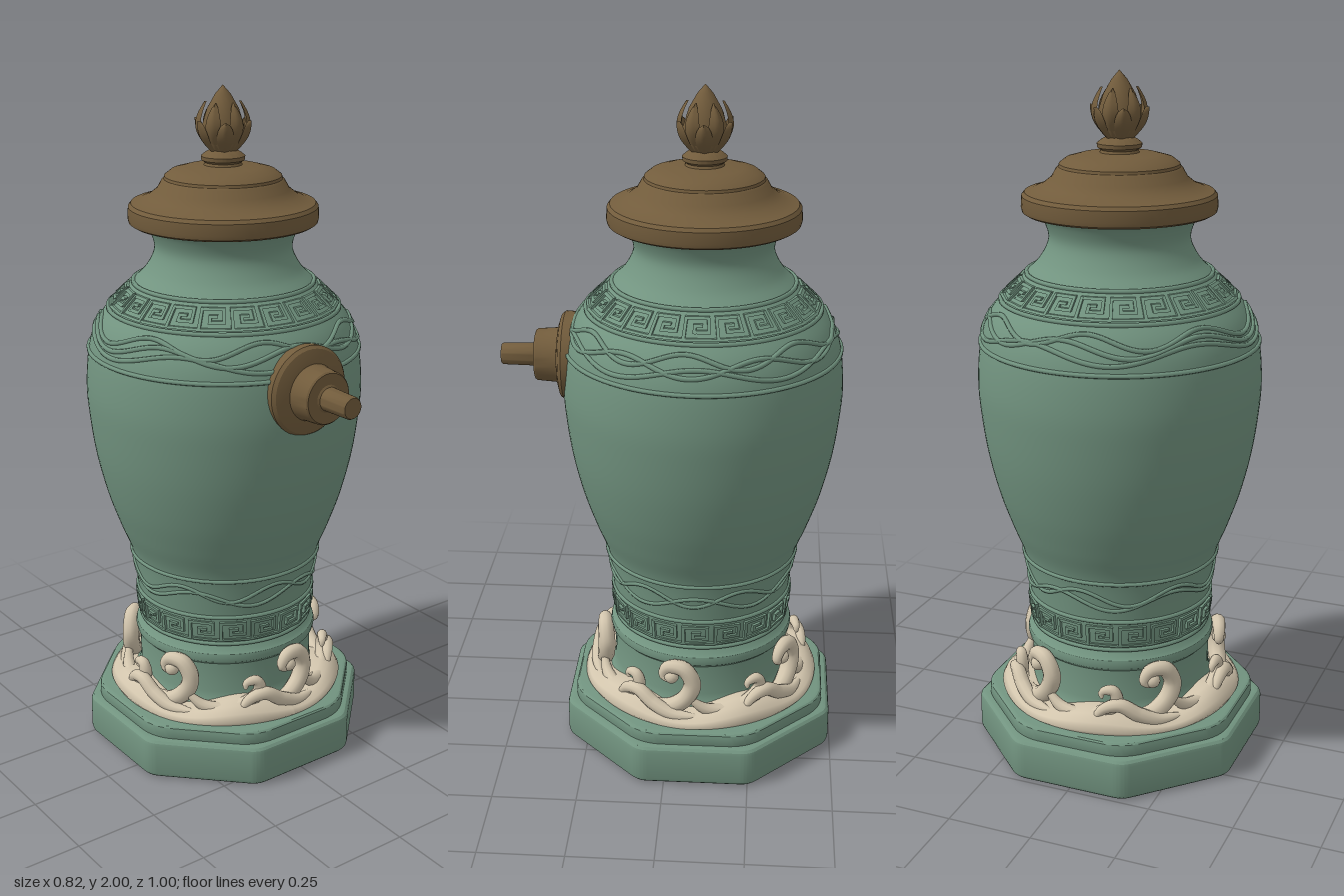
import * as THREE from 'three';
import { mergeGeometries, toCreasedNormals } from 'three/addons/utils/BufferGeometryUtils.js';

const V2 = (p) => new THREE.Vector2(p[0], p[1]);
const RAD = Math.PI / 180;
// point on a cylinder: angle runs from the front (+z) towards +x
const polar = (a, y, r) => new THREE.Vector3(r * Math.sin(a), y, r * Math.cos(a));

// vase outline [radius, height]
const outline = new THREE.SplineCurve([
  [0.262, 0.39], [0.268, 0.44], [0.272, 0.5], [0.288, 0.61], [0.322, 0.7], [0.356, 0.8], [0.385, 0.92],
  [0.402, 1.04], [0.408, 1.14], [0.398, 1.25], [0.375, 1.32], [0.335, 1.375], [0.268, 1.44],
  [0.225, 1.485], [0.2, 1.54], [0.212, 1.59], [0.238, 1.625],
].map(V2)).getPoints(96);

function vaseRadius(y) {
  const i = Math.max(1, outline.findIndex((p) => p.y >= y));
  const a = outline[i - 1], b = outline[i];
  return a.x + (b.x - a.x) * (y - a.y) / (b.y - a.y);
}

function creasedLathe(points, segments = 72) {
  return toCreasedNormals(new THREE.LatheGeometry(points.map(V2), segments), 0.55);
}

// octagonal slab with rounded corners, flats facing the axes
function octagonSlab(apothem, round, y0, height, bevel, holeRadius) {
  const R = apothem / Math.cos(Math.PI / 8);
  const corner = (i) => new THREE.Vector2(R * Math.cos((i + 0.5) * Math.PI / 4), R * Math.sin((i + 0.5) * Math.PI / 4));
  const shape = new THREE.Shape();
  for (let i = 0; i < 8; i++) {
    const c = corner(i);
    const a = c.clone().lerp(corner(i - 1), round), b = c.clone().lerp(corner(i + 1), round);
    if (i) shape.lineTo(a.x, a.y); else shape.moveTo(a.x, a.y);
    shape.quadraticCurveTo(c.x, c.y, b.x, b.y);
  }
  shape.closePath();
  if (holeRadius) shape.holes.push(new THREE.Path().absarc(0, 0, holeRadius, 0, Math.PI * 2, true));
  const geo = new THREE.ExtrudeGeometry(shape, {
    depth: height - 2 * bevel, bevelThickness: bevel, bevelSize: bevel, bevelOffset: -bevel,
    bevelSegments: 3, curveSegments: 12,
  });
  geo.rotateX(-Math.PI / 2).translate(0, y0 + bevel, 0);
  return toCreasedNormals(geo, 0.5);
}

// thin raised line following the vase all the way round
function raisedLine(heightAt, thickness) {
  const pts = [];
  for (let i = 0; i < 120; i++) {
    const a = i / 120 * Math.PI * 2, y = heightAt(a);
    pts.push(polar(a, y, vaseRadius(y)));
  }
  return new THREE.TubeGeometry(new THREE.CatmullRomCurve3(pts, true), 240, thickness, 6, true);
}

// ring of square spirals, each stroke a small bar bent onto the vase
function meander(y0, y1, count) {
  const strokes = [ // [x0, x1, y0, y1] in one unit cell
    [0.04, 0.14, 0.08, 0.92], [0.04, 0.88, 0.8, 0.92], [0.78, 0.88, 0.3, 0.92],
    [0.34, 0.88, 0.3, 0.42], [0.34, 0.44, 0.3, 0.64], [0.34, 0.64, 0.53, 0.64], [0.04, 1.04, 0.02, 0.12],
  ];
  const step = Math.PI * 2 / count, parts = [];
  for (let i = 0; i < count; i++) for (const [u0, u1, v0, v1] of strokes) {
    const bar = new THREE.BoxGeometry(u1 - u0, v1 - v0, 0.018);
    bar.translate((u0 + u1) / 2, (v0 + v1) / 2, 0);
    const pos = bar.attributes.position;
    for (let k = 0; k < pos.count; k++) {
      const y = y0 + pos.getY(k) * (y1 - y0);
      const p = polar((i + pos.getX(k)) * step, y, vaseRadius(y) + pos.getZ(k));
      pos.setXYZ(k, p.x, p.y, p.z);
    }
    bar.computeVertexNormals();
    parts.push(bar);
  }
  return mergeGeometries(parts);
}

// tapered scroll through [degrees, height] points around the foot
function scroll(points, radius, thickness) {
  const curve = new THREE.CatmullRomCurve3(points.map(([d, y]) => polar(d * RAD, y, radius)));
  const seg = 56, sides = 10, geo = new THREE.TubeGeometry(curve, seg, 1, sides);
  const pos = geo.attributes.position, v = new THREE.Vector3();
  for (let k = 0; k < pos.count; k++) {
    const t = Math.floor(k / (sides + 1)) / seg, c = curve.getPointAt(t);
    const s = thickness * Math.pow(Math.max(0.0005, Math.sin(Math.PI * (0.02 + t * 0.98))), 0.45);
    v.fromBufferAttribute(pos, k).sub(c).multiplyScalar(s).add(c);
    pos.setXYZ(k, v.x, v.y, v.z);
  }
  return geo;
}

// pointed, cupped petal with a central ridge
function petal(y0, y1, rBase, rBelly, rTip, halfAngle) {
  const geo = new THREE.PlaneGeometry(2, 1, 6, 10).translate(0, 0.5, 0);
  const pos = geo.attributes.position;
  for (let k = 0; k < pos.count; k++) {
    const s = pos.getX(k), t = pos.getY(k);
    const width = halfAngle * Math.pow(1 - t, 0.6) * (0.6 + 0.9 * t);
    const r = rBase * (1 - t) + rTip * t + (rBelly - (rBase + rTip) / 2) * Math.sin(Math.PI * t);
    const p = polar(s * width, y0 + t * (y1 - y0), r * (1 - 0.12 * Math.abs(s)));
    pos.setXYZ(k, p.x, p.y, p.z);
  }
  geo.computeVertexNormals();
  return geo;
}

export function createModel() {
  const green = new THREE.MeshStandardMaterial({ color: 0x729480 });
  green.name = 'celadonGreen';
  const bronze = new THREE.MeshStandardMaterial({ color: 0x725c3c, side: THREE.DoubleSide });
  bronze.name = 'bronzeBrown';
  const cream = new THREE.MeshStandardMaterial({ color: 0xd2c5ad });
  cream.name = 'cream';

  const model = new THREE.Group();
  model.name = 'urnDispenser';
  const urn = new THREE.Group();
  urn.name = 'urn';
  urn.position.z = -0.09;
  model.add(urn);
  const add = (name, geo, mat, parent = urn) => {
    const mesh = new THREE.Mesh(geo, mat);
    mesh.name = name;
    parent.add(mesh);
    return mesh;
  };

  // octagonal plinth, hollowed underneath
  add('plinth', octagonSlab(0.405, 0.09, 0, 0.125, 0.018, 0.29), green);
  add('plinthRecess', new THREE.CircleGeometry(0.33, 64).rotateX(Math.PI / 2).translate(0, 0.03, 0), green);
  add('plinthStep', octagonSlab(0.382, 0.2, 0.115, 0.05, 0.012), green);

  // round foot
  add('foot', creasedLathe([[0.31, 0.15], [0.3, 0.175], [0.275, 0.2], [0.267, 0.23], [0.267, 0.325], [0.277, 0.335],
    [0.28, 0.35], [0.277, 0.362], [0.268, 0.37], [0.255, 0.395]]), green);

  // vase body and its relief bands
  add('vaseBody', new THREE.LatheGeometry(outline, 96), green);
  for (const y of [0.39, 0.48, 0.605, 1.25, 1.372, 1.445]) add('bandEdge', raisedLine(() => y, 0.007), green);
  add('lowerMeander', meander(0.4, 0.472, 18), green);
  add('upperMeander', meander(1.38, 1.438, 22), green);
  for (let i = 0; i < 3; i++) {
    const wave = (base, size) => (a) => base + size * Math.sin((5 + i) * a + i * 1.9);
    add('shoulderWave', raisedLine(wave(1.295 + i * 0.018, 0.02), 0.007), green);
    if (i < 2) add('lowerWave', raisedLine(wave(0.54 + i * 0.015, 0.022), 0.006), green);
  }

  // cream surf around the foot
  const surf = new THREE.Group();
  surf.name = 'surf';
  urn.add(surf);
  const band = new THREE.LatheGeometry([[0.28, 0.155], [0.352, 0.158], [0.362, 0.17], [0.352, 0.185],
    [0.33, 0.197], [0.305, 0.203], [0.265, 0.2]].map(V2), 120);
  const pos = band.attributes.position;
  for (let k = 0; k < pos.count; k++) {
    const a = Math.atan2(pos.getX(k), pos.getZ(k)) - 6 * RAD;
    pos.setY(k, 0.155 + (pos.getY(k) - 0.155) * (1.15 + 0.35 * Math.cos(5 * (a + 0.55))));
  }
  band.computeVertexNormals();
  add('surfBand', band, cream, surf);
  const crest = scroll([[-26, 0.225], [-16, 0.195], [-3, 0.2], [7, 0.24], [10, 0.29], [5, 0.335], [-4, 0.335],
    [-7, 0.305], [-2, 0.285]], 0.3, 0.027);
  const ripple = scroll([[8, 0.24], [18, 0.205], [32, 0.195], [43, 0.215], [50, 0.25], [48, 0.283], [42, 0.277],
    [42, 0.255]], 0.308, 0.023);
  const tail = scroll([[-34, 0.2], [-28, 0.235], [-20, 0.245], [-11, 0.215], [0, 0.19], [14, 0.185]], 0.325, 0.022);
  for (let i = 0; i < 5; i++) {
    const wave = new THREE.Group();
    wave.name = 'wave';
    wave.rotation.y = (6 + i * 72) * RAD;
    surf.add(wave);
    add('crest', crest, cream, wave);
    add('ripple', ripple, cream, wave);
    add('tail', tail, cream, wave);
    add('curlEye', new THREE.SphereGeometry(0.022, 14, 10), cream, wave).position.copy(polar(-2 * RAD, 0.305, 0.3));
  }

  // lid
  add('lid', creasedLathe([[0, 1.612], [0.262, 1.612], [0.272, 1.618], [0.275, 1.63], [0.273, 1.662], [0.265, 1.672],
    [0.245, 1.677], [0.215, 1.69], [0.19, 1.71], [0.176, 1.735], [0.17, 1.74], [0.168, 1.748], [0.15, 1.762],
    [0.11, 1.773], [0.055, 1.778], [0.052, 1.785], [0.062, 1.792], [0.063, 1.803], [0.052, 1.812], [0.038, 1.82],
    [0, 1.822]]), bronze);

  // bud finial
  const bud = new THREE.Group();
  bud.name = 'budFinial';
  urn.add(bud);
  add('budCore', new THREE.LatheGeometry([[0.03, 1.81], [0.056, 1.84], [0.062, 1.88], [0.045, 1.935], [0.022, 1.975],
    [0, 2]].map(V2), 12), bronze, bud);
  const layers = [[1.812, 1.905, 0.035, 0.077, 0.088, 0.5], [1.815, 1.955, 0.035, 0.078, 0.052, 0.52]];
  layers.forEach((dims, layer) => {
    for (let i = 0; i < 6; i++) {
      add('petal', petal(...dims), bronze, bud).rotation.y = (i + 0.5 + layer * 0.5) * Math.PI / 3;
    }
  });

  // spout on the front: stepped flange, collar and pipe
  const spout = add('spout', creasedLathe([[0, 0], [0.115, 0], [0.128, 0.008], [0.13, 0.04], [0.122, 0.05],
    [0.1, 0.057], [0.082, 0.06], [0.08, 0.066], [0.076, 0.122], [0.072, 0.127], [0.04, 0.127], [0.034, 0.131],
    [0.032, 0.224], [0.029, 0.229], [0, 0.229]], 48), bronze);
  spout.rotation.x = Math.PI / 2;
  spout.position.set(0, 1.208, 0.361);

  return model;
}
